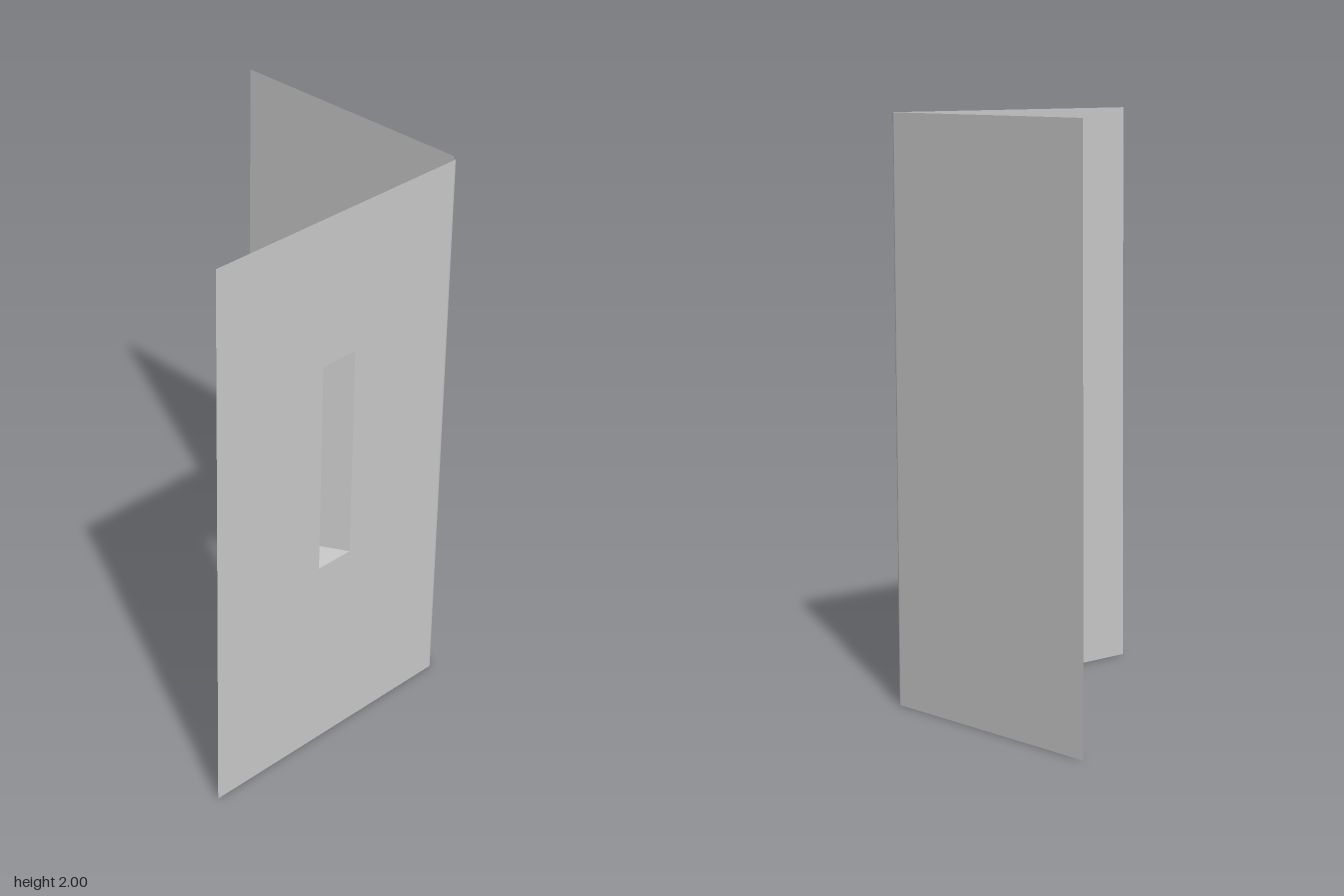
import * as THREE from 'three';

const HEIGHT = 2, LEFT = 0.527, RIGHT = -0.527, FRONT = 0.47, BACK = -0.47, BEND = 0.02;
const material = new THREE.MeshStandardMaterial({ color: 0xcccccc, side: THREE.DoubleSide });

function addPart(group, name, geometry, x = 0, y = 0, z = 0) {
  const mesh = new THREE.Mesh(geometry, material);
  mesh.name = name;
  mesh.position.set(x, y, z);
  group.add(mesh);
  return mesh;
}

// Rectangle corners, counter-clockwise from bottom right-hand side of the model
const rectangle = (x0, x1, y0, y1) => [[x0, y0], [x1, y0], [x1, y1], [x0, y1]];
const toPoints = (corners) => corners.map(([x, y]) => new THREE.Vector2(x, y));

// Four flat walls joining the slot opening to a narrower rectangle behind it
function funnelGeometry(outer, inner, zOuter, zInner) {
  const positions = [];
  for (let i = 0; i < 4; i++) {
    const j = (i + 1) % 4;
    const a = [...outer[i], zOuter], b = [...outer[j], zOuter];
    const c = [...inner[j], zInner], d = [...inner[i], zInner];
    positions.push(...a, ...b, ...c, ...a, ...c, ...d);
  }
  const geometry = new THREE.BufferGeometry();
  geometry.setAttribute('position', new THREE.Float32BufferAttribute(positions, 3));
  geometry.computeVertexNormals();
  return geometry;
}

export function createModel() {
  const model = new THREE.Group();
  model.name = 'bentPanelWithSlot';

  // Front sheet with a tall slot
  const slot = rectangle(-0.067, 0.077, 0.71, 1.48);
  const sheet = new THREE.Shape(toPoints(rectangle(RIGHT, LEFT - BEND, 0, HEIGHT)));
  sheet.holes.push(new THREE.Path(toPoints(slot).reverse()));
  addPart(model, 'frontPanel', new THREE.ShapeGeometry(sheet), 0, 0, FRONT);

  // Slot walls tapering inwards, open at the back
  const throat = rectangle(-0.01, 0.02, 0.71, 1.48);
  addPart(model, 'slotFunnel', funnelGeometry(slot, throat, FRONT, 0.368));

  // Rounded bend between the two sheets
  const bend = new THREE.CylinderGeometry(BEND, BEND, HEIGHT, 10, 1, true, 0, Math.PI / 2);
  addPart(model, 'cornerBend', bend, LEFT - BEND, HEIGHT / 2, FRONT - BEND);

  // Side sheet running to the back
  const depth = FRONT - BEND - BACK;
  const side = addPart(model, 'sidePanel', new THREE.PlaneGeometry(depth, HEIGHT),
    LEFT, HEIGHT / 2, BACK + depth / 2);
  side.rotation.y = Math.PI / 2;

  return model;
}
